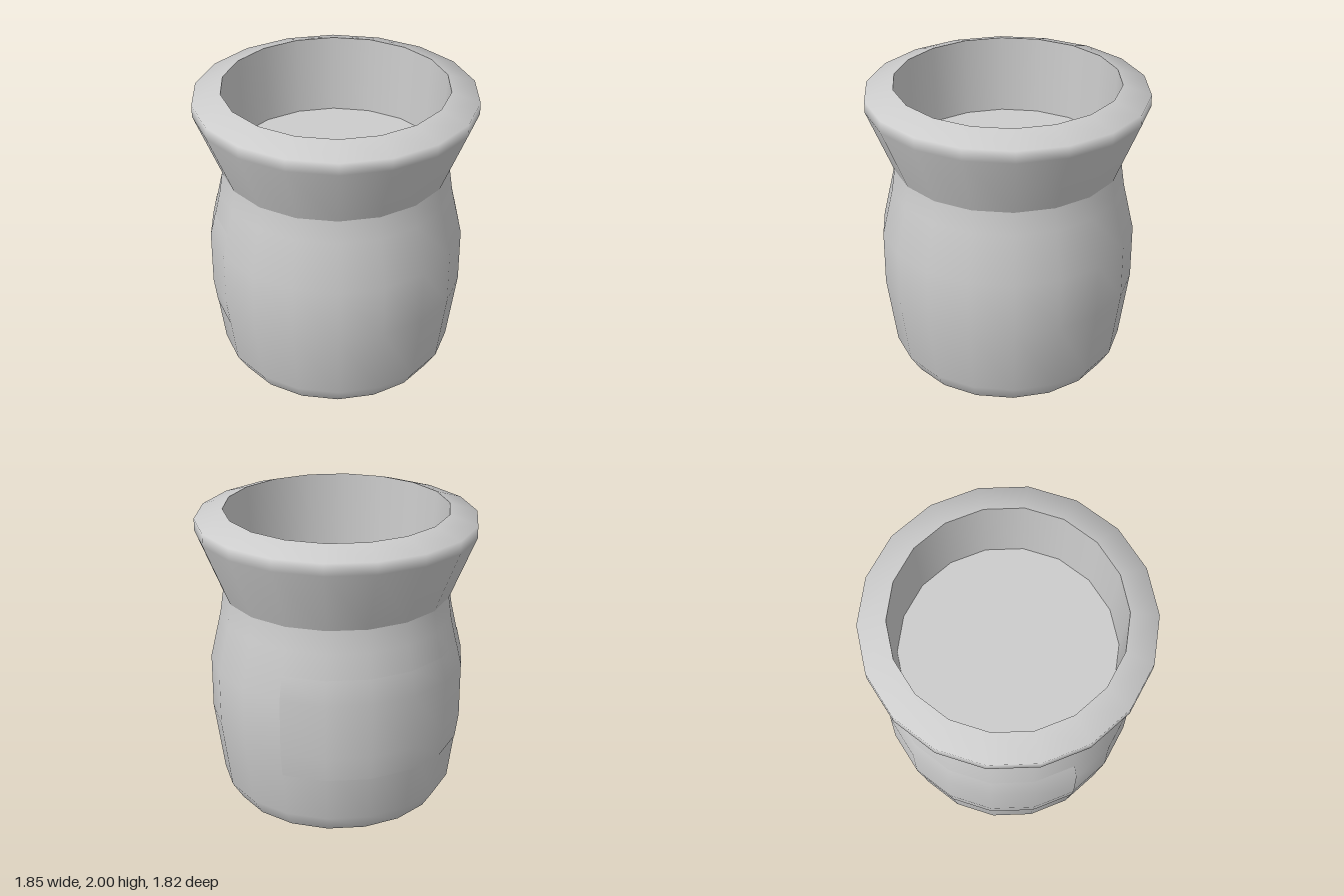
import * as THREE from 'three';

const SIDES = 18;
const material = new THREE.MeshStandardMaterial({ color: 0xcccccc });

// Revolved strip; a profile running upwards faces outwards
function turned(name, profile, segments = SIDES, start = Math.PI / 2, sweep = Math.PI * 2) {
  const points = profile.map(([r, y]) => new THREE.Vector2(r, y));
  const mesh = new THREE.Mesh(new THREE.LatheGeometry(points, segments, start, sweep), material);
  mesh.name = name;
  return mesh;
}

export function createModel() {
  const group = new THREE.Group();
  group.name = 'jar';

  // Underside and bulging body up to the neck
  group.add(turned('base', [[0, 0], [0.71, 0]]));
  group.add(turned('body', [
    [0.71, 0], [0.785, 0.12], [0.85, 0.6], [0.85, 0.97], [0.777, 1.29], [0.755, 1.44],
  ]));

  // Flared collar with a bevelled top
  group.add(turned('collar', [[0.755, 1.44], [0.925, 1.86], [0.925, 1.94], [0.74, 2]]));

  // Inside of the mouth and its floor
  group.add(turned('innerWall', [[0.74, 2], [0.715, 1.47]]));
  group.add(turned('innerFloor', [[0.715, 1.47], [0, 1.47]]));

  // Thin label wrapped round the back, flush with the body
  const lift = 0.003;
  const label = turned('backLabel',
    [[0.827, 0.43], [0.85, 0.6], [0.85, 0.97], [0.8135, 1.13]].map(([r, y]) => [r + lift, y]),
    7, THREE.MathUtils.degToRad(110), THREE.MathUtils.degToRad(140));
  label.geometry.computeVertexNormals();
  group.add(label);

  return group;
}
